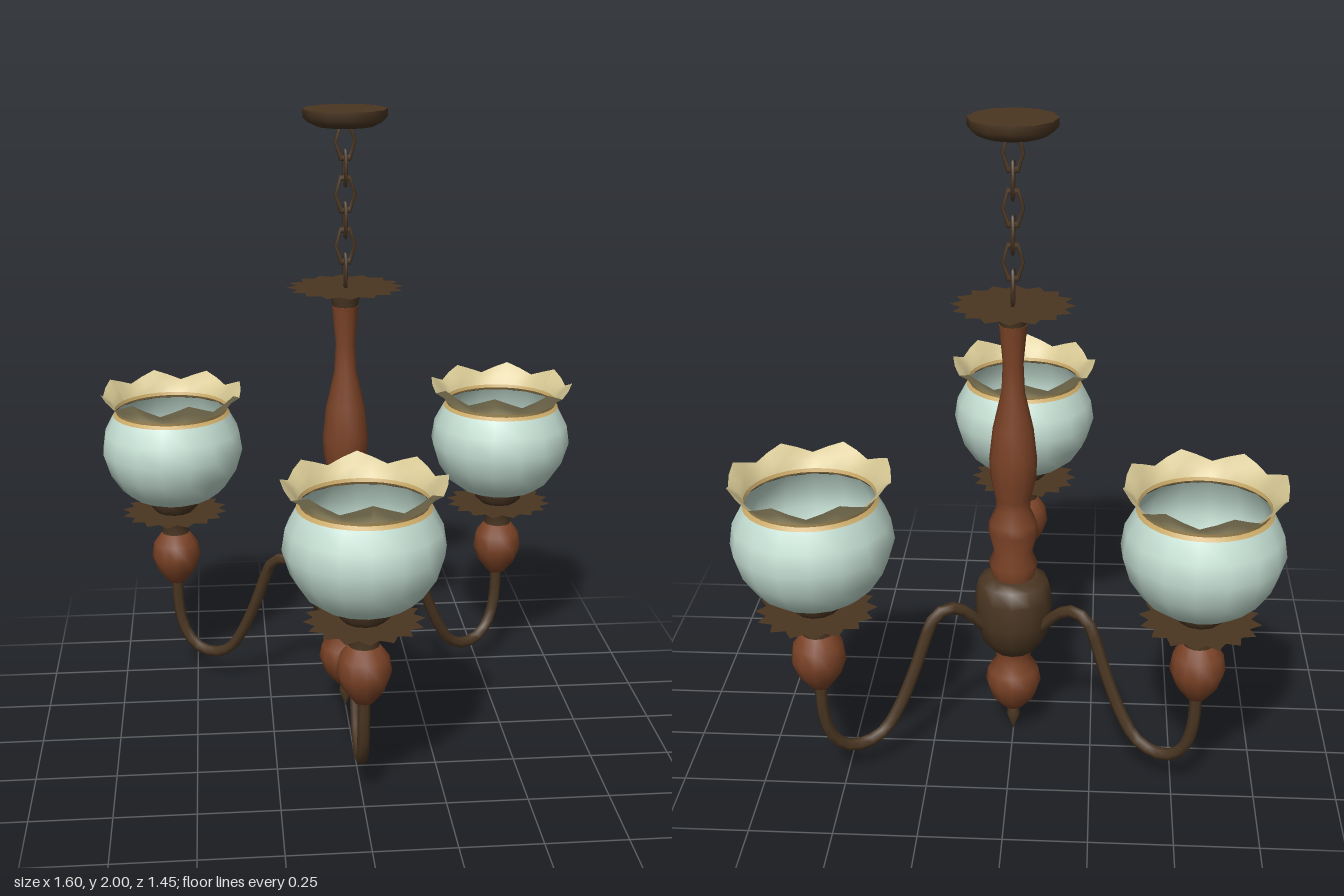
import * as THREE from 'three';
import { toCreasedNormals } from 'three/addons/utils/BufferGeometryUtils.js';

const material = (name, color, side = THREE.FrontSide) => {
  const m = new THREE.MeshStandardMaterial({ color, side });
  m.name = name;
  return m;
};

export function createModel() {
  const wood = material('red wood', 0x7a4226);
  const bronze = material('dark bronze', 0x4a3622);
  const leaf = material('bronze sheet', 0x4a3622, THREE.DoubleSide);
  const glass = material('pale aqua glass', 0xc6e0d4, THREE.DoubleSide);
  const gold = material('golden glass band', 0xc9a968, THREE.DoubleSide);
  const cream = material('cream glass', 0xd6c793, THREE.DoubleSide);

  const model = new THREE.Group();
  model.name = 'chandelier';
  const body = new THREE.Group();
  body.name = 'fixture';
  body.position.z = -0.165;
  model.add(body);

  const add = (parent, name, geometry, mat) => {
    const mesh = new THREE.Mesh(geometry, mat);
    mesh.name = name;
    parent.add(mesh);
    return mesh;
  };
  // Turned part from [radius, height] pairs, bottom to top
  const turned = (pairs, sides = 12) => toCreasedNormals(
    new THREE.LatheGeometry(pairs.map(([r, y]) => new THREE.Vector2(r, y)), sides), 1);
  // Flat serrated collar
  const serrated = (outer, inner, points) => {
    const shape = new THREE.Shape();
    for (let i = 0; i < points * 2; i++) {
      const a = i * Math.PI / points, r = i % 2 ? inner : outer;
      shape[i ? 'lineTo' : 'moveTo'](r * Math.cos(a), r * Math.sin(a));
    }
    shape.closePath();
    return new THREE.ShapeGeometry(shape).rotateX(-Math.PI / 2);
  };

  // Ceiling canopy
  add(body, 'canopy', turned([[0, 1.945], [0.09, 1.948], [0.115, 1.96], [0.13, 1.975],
    [0.13, 2], [0, 2]]), bronze);

  // Chain of links turned alternately by a quarter
  for (let i = 0; i < 6; i++) {
    const link = add(body, 'chainLink',
      new THREE.TorusGeometry(0.029, 0.006, 5, 6).scale(1, 1.95, 1), bronze);
    link.position.y = 1.9 - i * 0.08;
    link.rotation.y = i % 2 ? Math.PI / 2 : 0;
  }

  // Central column
  add(body, 'topCollar', serrated(0.185, 0.155, 16), leaf).position.y = 1.45;
  add(body, 'columnCap', turned([[0, 1.39], [0.04, 1.39], [0.047, 1.425], [0.035, 1.435],
    [0, 1.437]]), bronze);
  add(body, 'column', turned([[0, 0.55], [0.065, 0.56], [0.076, 0.61], [0.06, 0.65],
    [0.078, 0.72], [0.074, 0.75], [0.052, 0.8], [0.055, 0.83], [0.07, 0.9], [0.073, 0.96],
    [0.062, 1.06], [0.035, 1.18], [0.031, 1.27], [0.042, 1.39], [0, 1.39]]), wood);
  add(body, 'hub', turned([[0, 0.3], [0.065, 0.305], [0.105, 0.355], [0.12, 0.42],
    [0.12, 0.5], [0.108, 0.55], [0.075, 0.565], [0, 0.565]]), bronze);
  add(body, 'lowerKnob', turned([[0, 0.08], [0.03, 0.09], [0.07, 0.135], [0.088, 0.19],
    [0.08, 0.23], [0.053, 0.27], [0.06, 0.305], [0, 0.305]]), wood);
  add(body, 'finial', turned([[0, 0], [0.022, 0.058], [0.018, 0.08], [0, 0.085]], 8), bronze);

  // Flared petal rim: rows of vertices, the top row waving in height
  const petalRim = () => {
    const sides = 32, rows = [[0.19, 0.975], [0.205, 1.0], [0.236, 1.027]];
    const pos = [], index = [];
    rows.forEach(([r, y], j) => {
      for (let i = 0; i <= sides; i++) {
        const a = i * Math.PI * 2 / sides, wave = Math.cos(a * 8) * j / 2;
        const rr = r + wave * 0.005;
        pos.push(rr * Math.sin(a), y + wave * 0.017, rr * Math.cos(a));
        if (j < 2 && i < sides) {
          const p = j * (sides + 1) + i, q = p + sides + 1;
          index.push(p, p + 1, q, p + 1, q + 1, q);
        }
      }
    });
    const g = new THREE.BufferGeometry();
    g.setAttribute('position', new THREE.Float32BufferAttribute(pos, 3));
    g.setIndex(index);
    g.computeVertexNormals();
    return g;
  };

  // Arm curve in the plane of radius and height
  const armPath = new THREE.CatmullRomCurve3([[0.09, 0.40], [0.12, 0.425], [0.165, 0.475],
    [0.225, 0.5], [0.275, 0.475], [0.305, 0.41], [0.335, 0.33], [0.395, 0.2], [0.45, 0.125],
    [0.515, 0.1], [0.575, 0.112], [0.62, 0.16], [0.644, 0.24], [0.65, 0.36]]
    .map(([r, y]) => new THREE.Vector3(0, y, r)));

  // Three arms, each with a lamp
  for (let k = 0; k < 3; k++) {
    const arm = new THREE.Group();
    arm.name = 'armWithLamp';
    arm.rotation.y = k * Math.PI * 2 / 3;
    body.add(arm);
    add(arm, 'arm', new THREE.TubeGeometry(armPath, 26, 0.019, 6), bronze);

    const lamp = new THREE.Group();
    lamp.name = 'lamp';
    lamp.position.z = 0.65;
    arm.add(lamp);
    add(lamp, 'lampKnob', turned([[0, 0.34], [0.03, 0.345], [0.065, 0.39], [0.083, 0.44],
      [0.075, 0.49], [0.045, 0.53], [0, 0.535]]), wood);
    add(lamp, 'socketNeck', turned([[0, 0.515], [0.047, 0.525], [0.045, 0.56], [0.05, 0.57],
      [0.06, 0.605], [0, 0.605]]), bronze);
    add(lamp, 'dripCollar', serrated(0.18, 0.15, 16), leaf).position.y = 0.605;
    add(lamp, 'shadeHolder', turned([[0, 0.607], [0.062, 0.607], [0.08, 0.625],
      [0.085, 0.653], [0, 0.656]]), bronze);
    add(lamp, 'lampSocketFace', new THREE.CylinderGeometry(0.04, 0.04, 0.006, 12), cream)
      .position.y = 0.659;
    add(lamp, 'glassBowl', turned([[0.082, 0.645], [0.135, 0.665], [0.175, 0.695],
      [0.215, 0.755], [0.238, 0.83], [0.228, 0.895], [0.196, 0.955]], 16), glass);
    add(lamp, 'goldBand', turned([[0.196, 0.955], [0.186, 0.965], [0.19, 0.975]], 32), gold);
    add(lamp, 'petalRim', petalRim(), cream);
  }
  return model;
}
